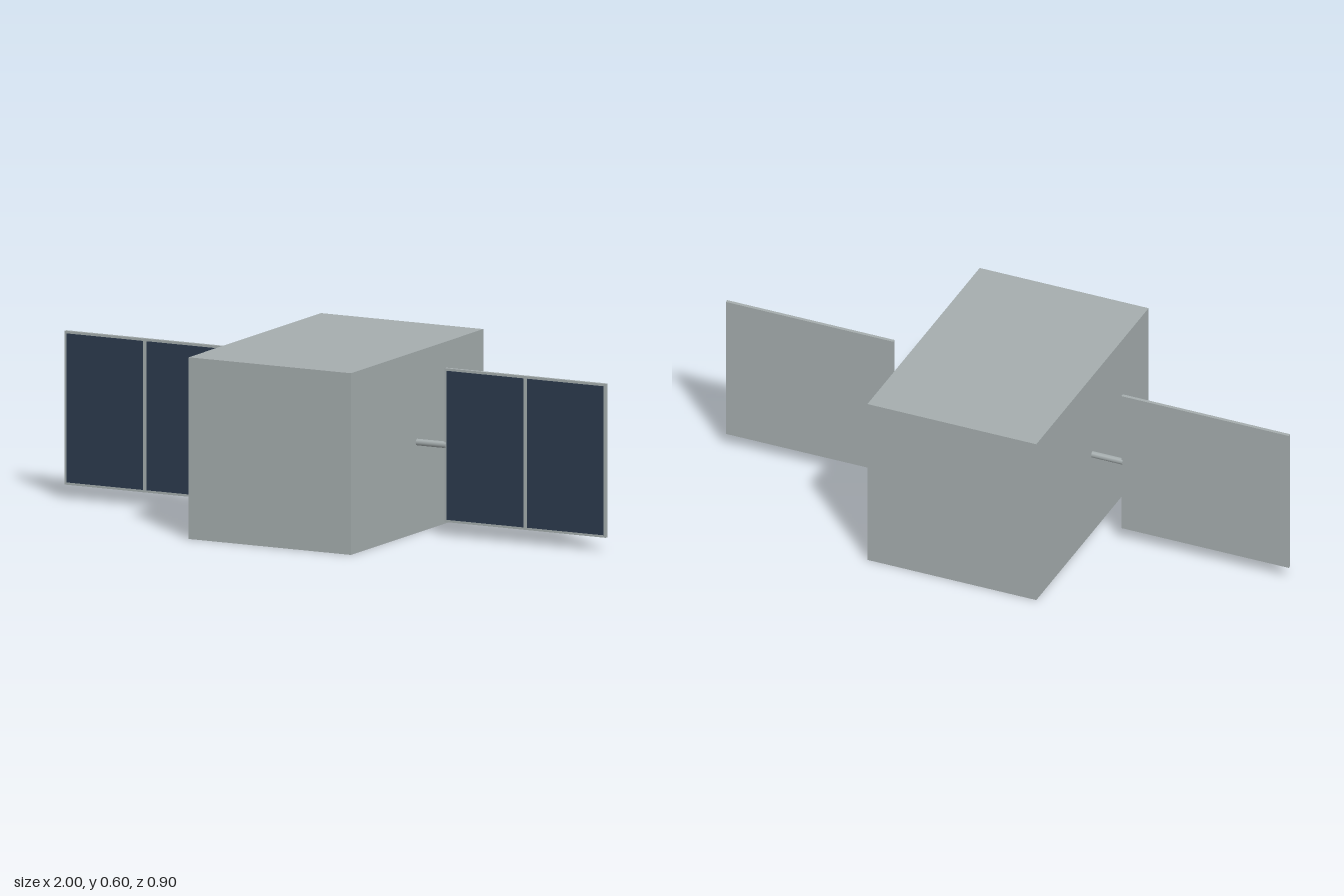
import * as THREE from 'three';

export function createModel() {
  const model = new THREE.Group();
  model.name = 'satellite';

  const hullGrey = new THREE.MeshStandardMaterial({ color: 0xa5adae });
  hullGrey.name = 'hull grey';
  const cellBlue = new THREE.MeshStandardMaterial({ color: 0x2c3a4d });
  cellBlue.name = 'solar cell blue';

  const midY = 0.3;

  function addBox(parent, name, size, position, material) {
    const mesh = new THREE.Mesh(new THREE.BoxGeometry(...size), material);
    mesh.name = name;
    mesh.position.set(...position);
    parent.add(mesh);
  }

  // Main body
  addBox(model, 'body', [0.6, 0.6, 0.9], [0, midY, 0], hullGrey);

  // A boom and solar panel on each side
  for (const [side, s] of [['left', 1], ['right', -1]]) {
    const wing = new THREE.Group();
    wing.name = side + 'Wing';
    wing.position.y = midY;
    model.add(wing);

    const boom = new THREE.Mesh(new THREE.CylinderGeometry(0.011, 0.011, 0.12, 8), hullGrey);
    boom.name = side + 'Boom';
    boom.rotation.z = Math.PI / 2;
    boom.position.x = s * 0.35;
    wing.add(boom);

    addBox(wing, side + 'PanelFrame', [0.595, 0.508, 0.012], [s * 0.7025, 0, 0], hullGrey);

    // Two thin cell sheets on the front of the frame
    for (const [cell, offset] of [['inner', -0.1485], ['outer', 0.1485]]) {
      addBox(wing, side + cell + 'SolarCells', [0.283, 0.492, 0.002],
        [s * (0.7025 + offset), 0, 0.0065], cellBlue);
    }
  }

  return model;
}
